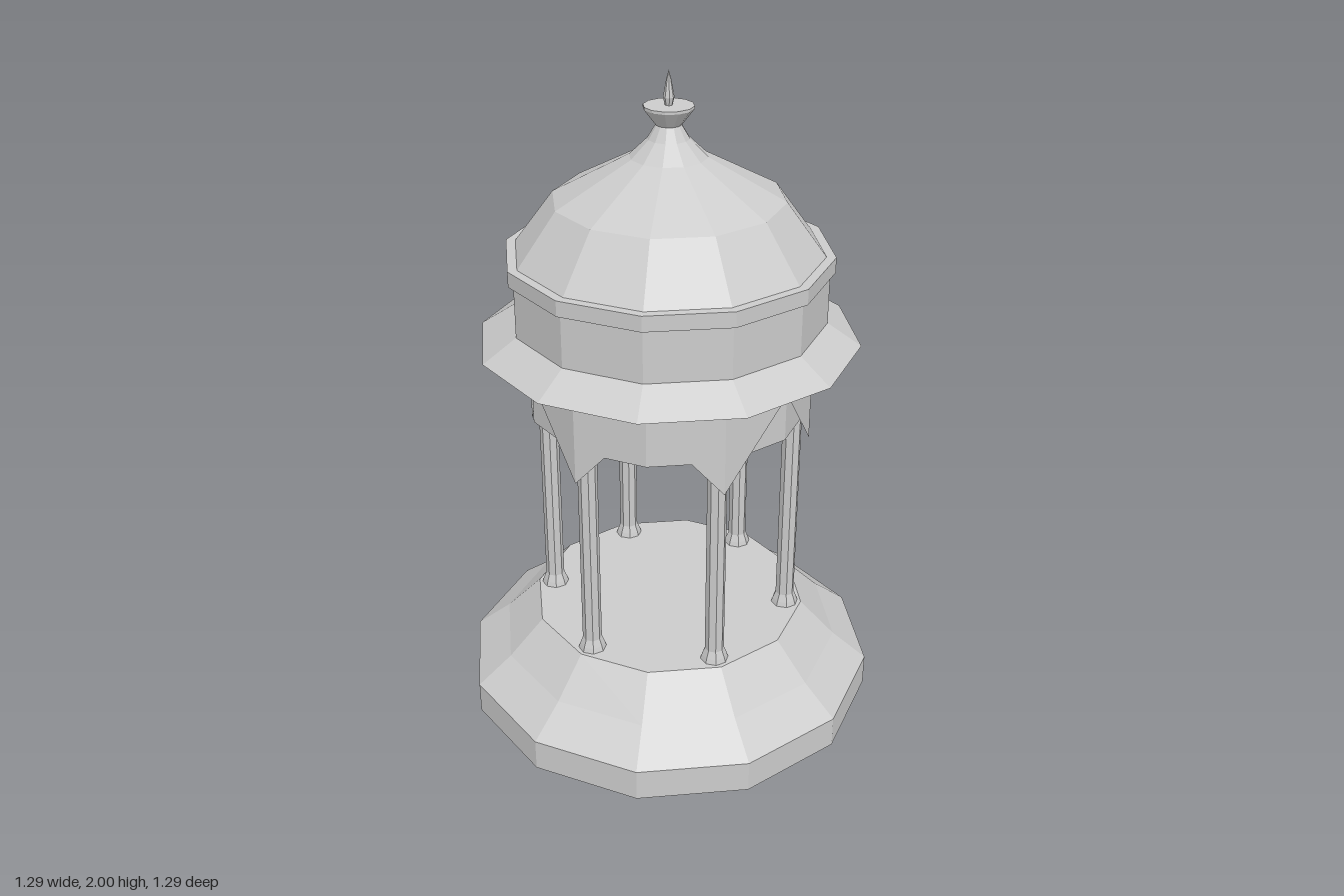
import * as THREE from 'three';

const material = new THREE.MeshStandardMaterial({ color: 0xcccccc, flatShading: true });
const sheetMaterial = new THREE.MeshStandardMaterial({ color: 0xcccccc, flatShading: true, side: THREE.DoubleSide });

// Faceted solid of revolution from [radius, height] pairs, bottom to top
function turned(name, profile, sides = 12) {
  const points = profile.map(([r, y]) => new THREE.Vector2(r, y));
  const mesh = new THREE.Mesh(new THREE.LatheGeometry(points, sides), material);
  mesh.name = name;
  return mesh;
}

// Hanging points of the arcade: one folded triangle pair above each column
function spandrels(radius, tipY, topY) {
  const at = (step, y) => {
    const a = step * Math.PI / 6;
    return [radius * Math.cos(a), y, radius * Math.sin(a)];
  };
  const positions = [];
  for (let i = 0; i < 12; i += 2) {
    const tip = at(i, tipY), top = at(i, topY);
    positions.push(...tip, ...at(i - 1, topY), ...top);
    positions.push(...tip, ...top, ...at(i + 1, topY));
  }
  const geometry = new THREE.BufferGeometry();
  geometry.setAttribute('position', new THREE.Float32BufferAttribute(positions, 3));
  geometry.computeVertexNormals();
  const mesh = new THREE.Mesh(geometry, sheetMaterial);
  mesh.name = 'archSpandrels';
  return mesh;
}

export function createModel() {
  const model = new THREE.Group();
  model.name = 'domedPavilion';

  // Stepped, sloping plinth
  model.add(turned('plinth', [[0, 0], [0.644, 0], [0.644, 0.1], [0.537, 0.185], [0.428, 0.297], [0, 0.297]]));

  // Six slender columns with flared feet and heads
  const columns = new THREE.Group();
  columns.name = 'columns';
  for (let i = 0; i < 6; i++) {
    const a = i * Math.PI / 3;
    const column = turned('column', [[0.043, 0.295], [0.038, 0.312], [0.029, 0.335], [0.029, 0.965], [0.036, 1.003]], 8);
    column.position.set(0.375 * Math.cos(a), 0, 0.375 * Math.sin(a));
    columns.add(column);
  }
  model.add(columns);

  // Ceiling block with the pointed arcade edge
  model.add(turned('entablature', [[0, 1.003], [0.424, 1.003], [0.424, 1.16]]));
  model.add(spandrels(0.427, 0.9, 1.147));

  // Projecting eave, drum and cornice
  model.add(turned('eave', [[0.39, 1.143], [0.565, 1.214], [0.45, 1.29]]));
  model.add(turned('drum', [[0.464, 1.28], [0.464, 1.442]]));
  model.add(turned('cornice', [[0.455, 1.438], [0.479, 1.438], [0.479, 1.484], [0.44, 1.484]]));

  // Dome rising into a narrow neck
  model.add(turned('dome', [[0.451, 1.484], [0.335, 1.64], [0.112, 1.76], [0.06, 1.81], [0.036, 1.85]]));

  // Finial dish and spike
  model.add(turned('finialDish', [[0.036, 1.848], [0.072, 1.895], [0.072, 1.903], [0, 1.903]]));
  model.add(turned('finialSpike', [[0.01, 1.9], [0.016, 1.925], [0.007, 1.975], [0, 2]], 8));

  return model;
}
